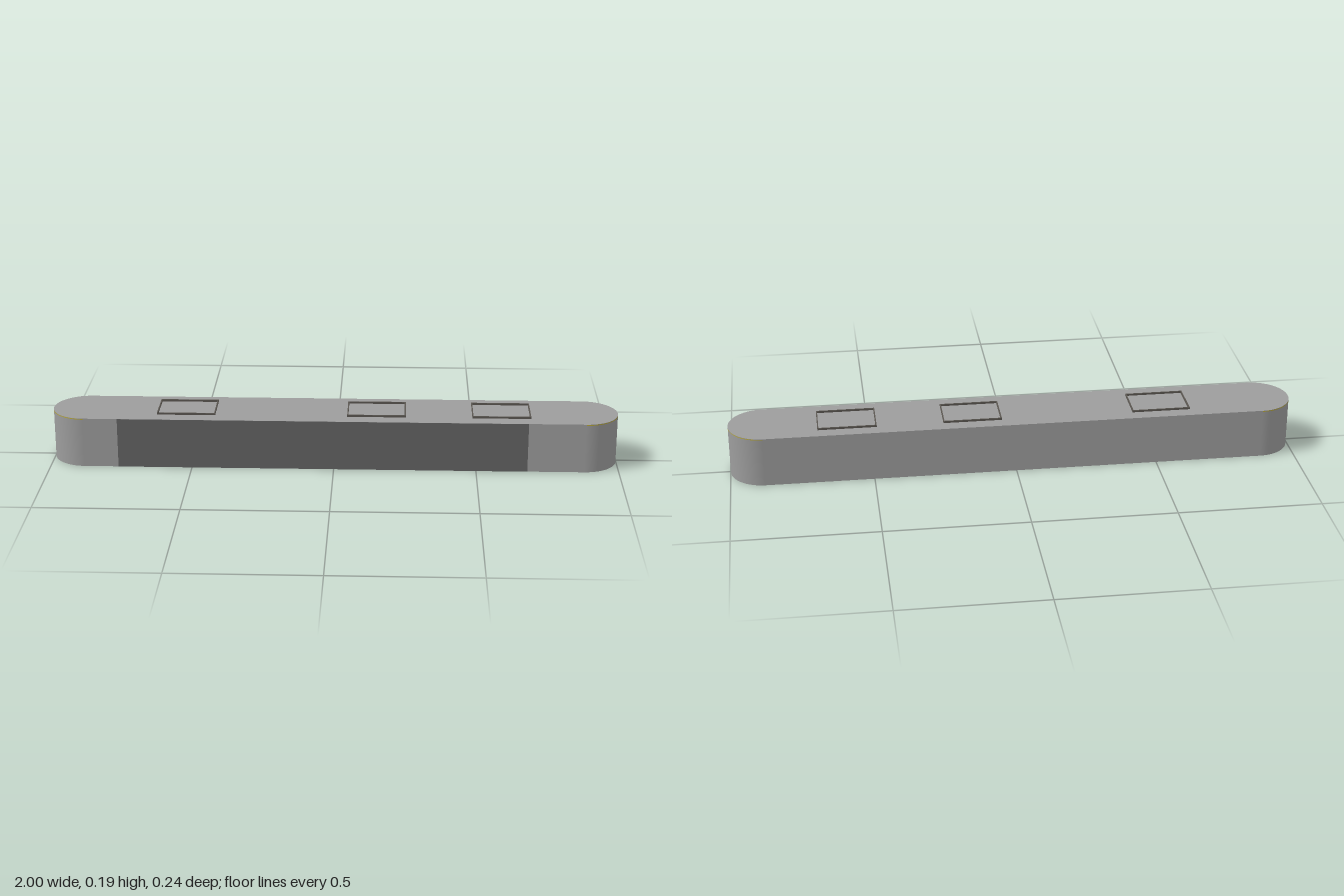
import * as THREE from 'three';

const RADIUS = 0.12, HALF = 0.88, TOP = 0.178;
const paint = (color, side = THREE.DoubleSide) => new THREE.MeshStandardMaterial({ color, side });
const shellGrey = paint(0x9d9d9d);
const panelGrey = paint(0x646464, THREE.FrontSide);
const rimGrey = paint(0x5c5852);
const sleeveGrey = paint(0xcccccc);
const yellow = paint(0xb8a838);

function addMesh(parent, name, geometry, material) {
  const mesh = new THREE.Mesh(geometry, material);
  mesh.name = name;
  parent.add(mesh);
  return mesh;
}

function rectangle(PathType, width, depth) {
  const w = width / 2, d = depth / 2;
  return new PathType([[-w, -d], [w, -d], [w, d], [-w, d]].map(([x, y]) => new THREE.Vector2(x, y)));
}

// Open rectangular sleeve of four thin walls, with a dark raised rim on the top plate
function socket(width, depth, bottom, rimTop) {
  const group = new THREE.Group();
  group.name = 'socket';
  const h = TOP - bottom;
  for (const s of [-1, 1]) {
    const long = addMesh(group, 'sleeveLongWall', new THREE.PlaneGeometry(width, h), sleeveGrey);
    long.position.set(0, bottom + h / 2, s * depth / 2);
    long.rotation.y = s > 0 ? 0 : Math.PI;
    const short = addMesh(group, 'sleeveShortWall', new THREE.PlaneGeometry(depth, h), sleeveGrey);
    short.position.set(s * width / 2, bottom + h / 2, 0);
    short.rotation.y = s * Math.PI / 2;
  }
  const frame = rectangle(THREE.Shape, width, depth);
  frame.holes.push(rectangle(THREE.Path, width - 0.008, depth - 0.008));
  const rim = addMesh(group, 'socketRim',
    new THREE.ExtrudeGeometry(frame, { depth: rimTop - TOP, bevelEnabled: false }), rimGrey);
  rim.rotation.x = -Math.PI / 2;
  rim.position.y = TOP;
  return group;
}

export function createModel() {
  const model = new THREE.Group();
  model.name = 'roundEndedCover';

  // Flat top with two semicircular ends
  const outline = new THREE.Shape();
  outline.moveTo(-HALF, -RADIUS);
  outline.lineTo(HALF, -RADIUS);
  outline.absarc(HALF, 0, RADIUS, -Math.PI / 2, Math.PI / 2, false);
  outline.lineTo(-HALF, RADIUS);
  outline.absarc(-HALF, 0, RADIUS, Math.PI / 2, Math.PI * 1.5, false);
  const top = addMesh(model, 'topPlate', new THREE.ShapeGeometry(outline, 32), shellGrey);
  top.rotation.x = -Math.PI / 2;
  top.position.y = TOP;

  // Side walls, open underneath
  for (const s of [-1, 1]) {
    const side = addMesh(model, s > 0 ? 'frontWall' : 'backWall', new THREE.PlaneGeometry(2 * HALF, TOP), shellGrey);
    side.position.set(0, TOP / 2, s * RADIUS);
    side.rotation.y = s > 0 ? 0 : Math.PI;

    // Curved end wall and its thin yellow trim
    const start = s > 0 ? 0 : Math.PI;
    const end = addMesh(model, s > 0 ? 'leftEndWall' : 'rightEndWall',
      new THREE.CylinderGeometry(RADIUS, RADIUS, TOP, 32, 1, true, start, Math.PI), shellGrey);
    end.position.set(s * HALF, TOP / 2, 0);
    const trim = addMesh(model, 'endTrim',
      new THREE.CylinderGeometry(RADIUS + 0.0006, RADIUS + 0.0006, 0.003, 32, 1, true, start, Math.PI), yellow);
    trim.position.set(s * HALF, TOP - 0.0025, 0);
  }

  // Darker panel over the middle of the front wall
  const panel = addMesh(model, 'frontPanel', new THREE.PlaneGeometry(1.44, TOP), panelGrey);
  panel.position.set(-0.04, TOP / 2, RADIUS + 0.001);

  // Three sockets hanging below the top and standing just proud of it
  for (const x of [-0.522, 0.149, 0.588]) {
    const hole = socket(0.206, 0.142, 0.06, 0.185);
    hole.position.set(x, 0, -0.002);
    model.add(hole);
  }
  return model;
}
